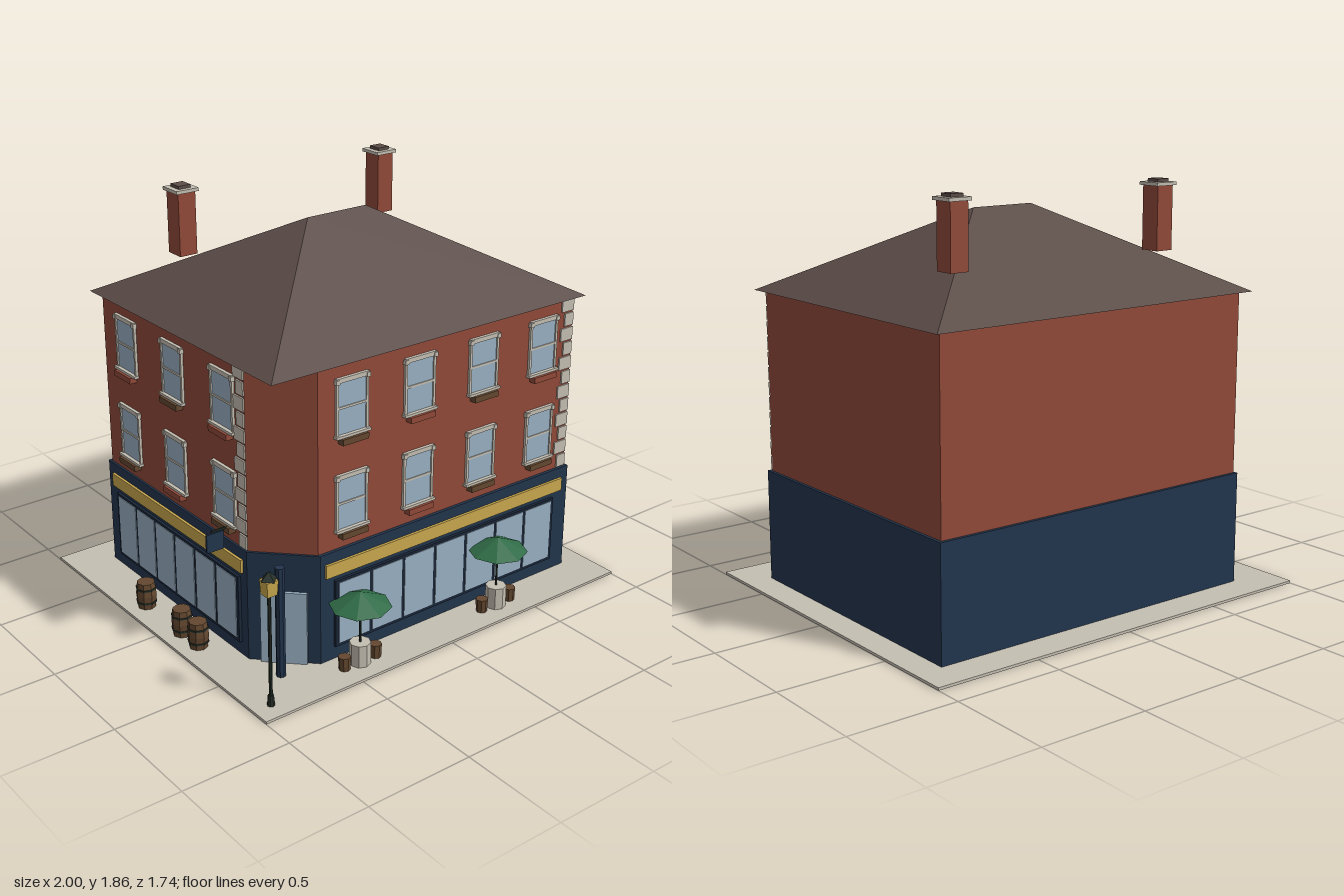
import * as THREE from 'three';
import { ConvexGeometry } from 'three/addons/geometries/ConvexGeometry.js';

const material = (name, color) => {
  const m = new THREE.MeshStandardMaterial({ color, flatShading: true });
  m.name = name;
  return m;
};

export function createModel() {
  const brick = material('brick', 0x914a39);
  const navy = material('navy paint', 0x22354d);
  const darkNavy = material('dark navy frame', 0x1a2638);
  const gold = material('gold', 0xc9a84e);
  const glass = material('glass', 0x9ab1c4);
  const slate = material('roof slate', 0x5c4d48);
  const stone = material('pale stone', 0xc5bfb2);
  const wood = material('wood', 0x644830);
  const green = material('green canvas', 0x2f6b46);
  const iron = material('dark iron', 0x263029);

  const model = new THREE.Group();
  model.name = 'cornerPub';

  const add = (parent, name, geometry, mat, x = 0, y = 0, z = 0) => {
    const mesh = new THREE.Mesh(geometry, mat);
    mesh.name = name;
    mesh.position.set(x, y, z);
    parent.add(mesh);
    return mesh;
  };
  const box = (parent, name, mat, w, h, d, x, y, z) =>
    add(parent, name, new THREE.BoxGeometry(w, h, d), mat, x, y, z);
  const cyl = (parent, name, mat, rTop, rBottom, y0, y1, sides, x = 0, z = 0) =>
    add(parent, name, new THREE.CylinderGeometry(rTop, rBottom, y1 - y0, sides), mat, x, (y0 + y1) / 2, z);
  const group = (name, x = 0, y = 0, z = 0, turn = 0) => {
    const g = new THREE.Group();
    g.name = name;
    g.position.set(x, y, z);
    g.rotation.y = turn;
    model.add(g);
    return g;
  };

  // Pavement
  box(model, 'pavement', stone, 2, 0.012, 1.715, 0, 0.006, -0.0145);

  // Storeys: rectangle with the front corner at -x cut off
  const storey = (name, mat, x0, x1, z0, z1, cut, y0, y1) => {
    const shape = new THREE.Shape([
      [x0, -z0], [x0, -(z1 - cut)], [x0 + cut, -z1], [x1, -z1], [x1, -z0],
    ].map(([x, y]) => new THREE.Vector2(x, y)));
    const geometry = new THREE.ExtrudeGeometry(shape, { depth: y1 - y0, bevelEnabled: false });
    geometry.rotateX(-Math.PI / 2);
    add(model, name, geometry, mat, 0, y0, 0);
  };
  storey('groundFloor', navy, -0.79, 0.872, -0.715, 0.638, 0.22, 0.006, 0.53);
  storey('brickUpperFloors', brick, -0.78, 0.858, -0.7, 0.623, 0.21, 0.52, 1.365);

  // Hipped roof
  const roofPoints = [
    [-0.818, 1.365, -0.744], [0.9, 1.365, -0.744], [0.9, 1.365, 0.657], [-0.818, 1.365, 0.657],
    [-0.118, 1.745, -0.043], [0.2, 1.745, -0.043],
  ].map((p) => new THREE.Vector3(...p));
  add(model, 'hippedRoof', new ConvexGeometry(roofPoints), slate);

  // Chimneys
  for (const x of [-0.49, 0.625]) {
    const g = group('chimney', x, 0, -0.47);
    box(g, 'chimneyStack', brick, 0.088, 0.285, 0.094, 0, 1.692, 0);
    box(g, 'chimneyCap', stone, 0.114, 0.015, 0.112, 0, 1.842, 0);
    box(g, 'chimneyPot', slate, 0.062, 0.015, 0.066, 0, 1.856, 0);
  }

  // Sash window, facing local +z, origin at the glass centre on the wall
  const sashWindow = (x, y, z, turn, boxMat) => {
    const g = group('sashWindow', x, y, z, turn);
    box(g, 'windowGlass', glass, 0.146, 0.232, 0.006, 0, 0, 0.003);
    for (const s of [-1, 1]) {
      box(g, 'windowJamb', stone, 0.012, 0.24, 0.014, s * 0.077, 0, 0.005);
      box(g, 'headerEnd', stone, 0.02, 0.02, 0.02, s * 0.078, 0.122, 0.008);
    }
    box(g, 'meetingRail', stone, 0.146, 0.01, 0.01, 0, 0.005, 0.005);
    box(g, 'windowHeader', stone, 0.165, 0.02, 0.016, 0, 0.127, 0.007);
    box(g, 'windowSill', stone, 0.178, 0.012, 0.024, 0, -0.119, 0.011);
    box(g, 'windowBox', boxMat, 0.134, 0.027, 0.035, 0, -0.138, 0.018);
  };
  const rows = [0.733, 1.163];
  rows.forEach((y, r) => {
    [-0.4, -0.04, 0.32, 0.675].forEach((x, i) =>
      sashWindow(x, y, 0.623, 0, i === 1 || (r === 1 && i === 3) ? brick : wood));
    [-0.5, -0.12, 0.26].forEach((z, i) =>
      sashWindow(-0.78, y, z, -Math.PI / 2, (r + i) % 2 ? brick : wood));
  });

  // Corner quoins on the front and on the side wall
  for (let i = 0; i < 12; i++) {
    const w = i % 2 ? 0.072 : 0.052;
    const y = 0.565 + i * 0.0695;
    box(model, 'frontQuoin', stone, w, 0.06, 0.012, 0.858 - w / 2, y, 0.624);
    box(model, 'sideQuoin', stone, 0.012, 0.06, w, -0.781, y, 0.413 - w / 2);
  }

  // Shopfront: framed panes under a gold fascia, facing local +z
  const shopfront = (x, z, turn, width, panes, fasciaWidth, fasciaShift) => {
    const g = group('shopfront', x, 0, z, turn);
    box(g, 'fascia', gold, fasciaWidth, 0.062, 0.016, fasciaShift, 0.45, 0.004);
    box(g, 'shopfrontFrame', darkNavy, width, 0.32, 0.016, 0, 0.235, 0.006);
    const pitch = (width - 0.018) / panes;
    for (let i = 0; i < panes; i++) {
      box(g, 'shopPane', glass, pitch - 0.016, 0.292, 0.006, (i - (panes - 1) / 2) * pitch, 0.237, 0.014);
    }
  };
  shopfront(0.138, 0.638, 0, 1.275, 7, 1.375, 0.002);
  shopfront(-0.79, -0.13, -Math.PI / 2, 1.0, 6, 1.06, -0.01);

  // Corner door and the post in front of it
  const door = group('cornerDoor', -0.68, 0, 0.528, -Math.PI / 4);
  box(door, 'doorGlass', glass, 0.2, 0.343, 0.02, 0, 0.184, 0.005);
  cyl(model, 'cornerPost', navy, 0.021, 0.021, 0.012, 0.53, 8, -0.755, 0.605);

  // Hanging sign
  box(model, 'signArm', iron, 0.11, 0.008, 0.008, -0.83, 0.605, 0.3);
  box(model, 'signBoard', navy, 0.085, 0.085, 0.01, -0.868, 0.555, 0.3);

  // Street lamp
  const lamp = group('streetLamp', -0.915, 0, 0.757);
  cyl(lamp, 'lampBase', iron, 0.013, 0.017, 0.012, 0.06, 8);
  cyl(lamp, 'lampPole', iron, 0.008, 0.008, 0.05, 0.53, 8);
  cyl(lamp, 'lampLantern', gold, 0.039, 0.034, 0.53, 0.597, 4).rotation.y = Math.PI / 4;
  cyl(lamp, 'lampCap', green, 0, 0.038, 0.597, 0.635, 4).material = iron;

  // Barrels along the side wall
  for (const z of [-0.23, 0.07, 0.2]) {
    const g = group('barrel', -0.905, 0, z);
    cyl(g, 'barrelLower', wood, 0.048, 0.041, 0.012, 0.075, 8);
    cyl(g, 'barrelUpper', wood, 0.041, 0.048, 0.075, 0.138, 8);
    for (const y of [0.038, 0.104]) cyl(g, 'barrelHoop', iron, 0.048, 0.048, y, y + 0.008, 8);
  }

  // Parasol tables with two stools each
  for (const x of [-0.43, 0.355]) {
    const g = group('parasolTable', x, 0, 0.73);
    cyl(g, 'tableDrum', stone, 0.047, 0.047, 0.012, 0.116, 8);
    cyl(g, 'parasolPole', iron, 0.005, 0.005, 0.11, 0.35, 6);
    cyl(g, 'parasolCanopy', green, 0, 0.135, 0.295, 0.358, 8);
    for (const s of [-1, 1]) cyl(g, 'stool', wood, 0.028, 0.025, 0.012, 0.075, 8, s * 0.084, 0);
  }

  return model;
}
